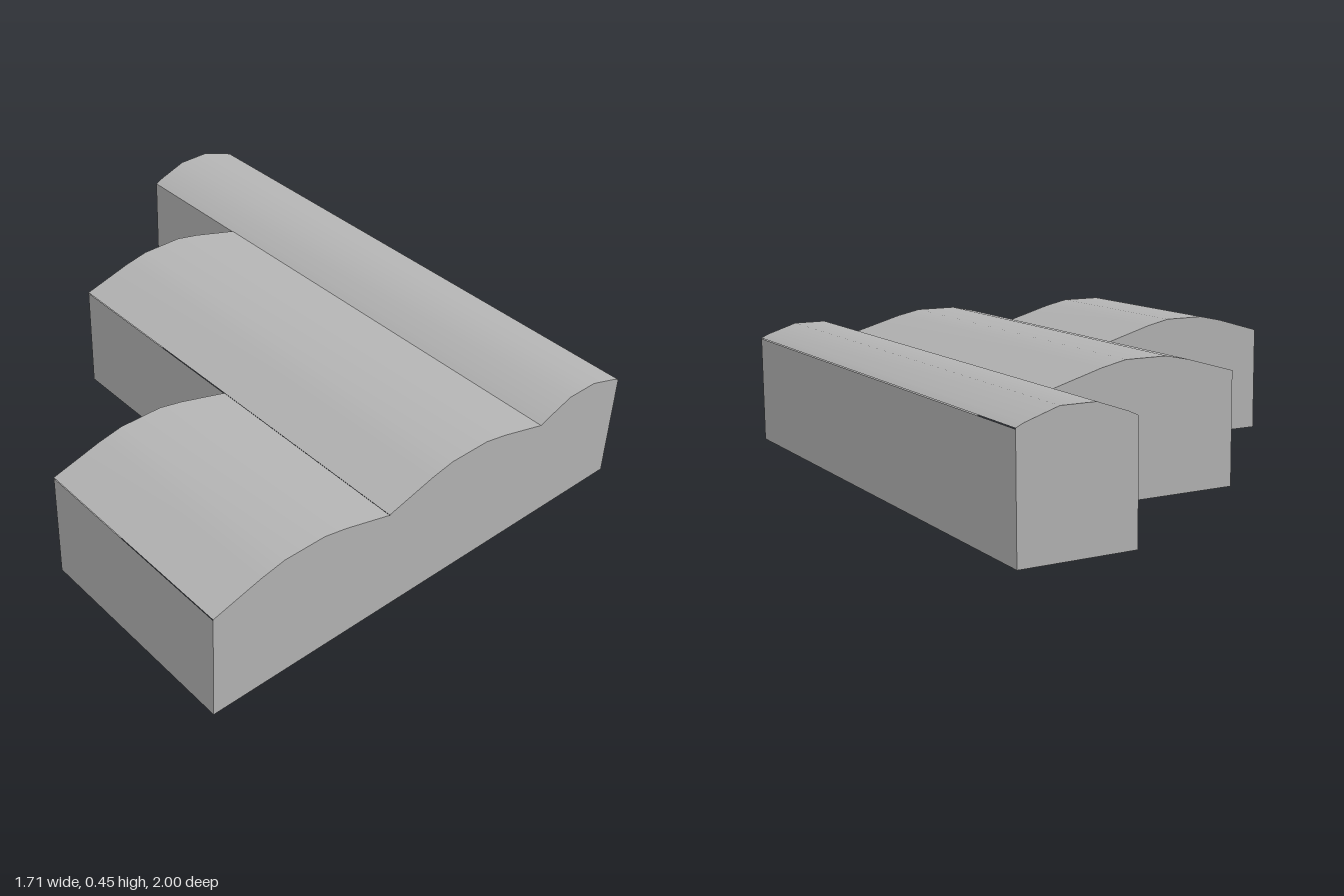
import * as THREE from 'three';

const EAVE = 0.38;
const FRONT = 1;

// Vault outlines as [x offset from bay start, y]
const wideArc = [[0, 0.383], [0.17, 0.432], [0.255, 0.45], [0.405, 0.45], [0.49, 0.432], [0.665, 0.382]];
const narrowArc = [[0, EAVE], [0.032, 0.395], [0.132, 0.43], [0.247, 0.43], [0.355, 0.395], [0.38, 0.383]];

// Three stepped bays sharing one front line
const bays = [
  { name: 'Right', x: -0.855, back: 0.237, arc: wideArc },
  { name: 'Middle', x: -0.19, back: -0.524, arc: wideArc },
  { name: 'Left', x: 0.475, back: -1, arc: narrowArc },
];

// Smooth vaulted roof: a strip swept from back to front
function roofGeometry(profile, back) {
  const positions = [];
  const index = [];
  profile.forEach(([x, y], i) => {
    positions.push(x, y, back, x, y, FRONT);
    if (i > 0) {
      const a = 2 * (i - 1);
      index.push(a, a + 1, a + 3, a, a + 3, a + 2);
    }
  });
  const geometry = new THREE.BufferGeometry();
  geometry.setAttribute('position', new THREE.Float32BufferAttribute(positions, 3));
  geometry.setIndex(index);
  geometry.computeVertexNormals();
  return geometry;
}

// Flat end wall under the vault outline
function endGeometry(profile, z, facesBack) {
  const s = facesBack ? -1 : 1;
  const outline = [
    [profile[0][0], 0], [profile[profile.length - 1][0], 0],
    ...[...profile].reverse(),
  ].map(([x, y]) => new THREE.Vector2(s * x, y));
  const geometry = new THREE.ShapeGeometry(new THREE.Shape(outline));
  if (facesBack) geometry.rotateY(Math.PI);
  return geometry.translate(0, 0, z);
}

// Rectangular side wall facing +x or -x
function sideGeometry(x, z0, z1, direction) {
  return new THREE.PlaneGeometry(z1 - z0, EAVE)
    .rotateY(direction * Math.PI / 2)
    .translate(x, EAVE / 2, (z0 + z1) / 2);
}

export function createModel() {
  const model = new THREE.Group();
  model.name = 'vaultedBuilding';
  const grey = new THREE.MeshStandardMaterial({ color: 0xb3b3b3, side: THREE.DoubleSide });
  grey.name = 'plainGrey';

  const add = (name, geometry) => {
    const mesh = new THREE.Mesh(geometry, grey);
    mesh.name = name;
    model.add(mesh);
  };

  // Each bay is open underneath and to its neighbours
  let stepFront = FRONT;
  for (const { name, x, back, arc } of bays) {
    const profile = arc.map(([dx, y]) => [x + dx, y]);
    add(`roof${name}`, roofGeometry(profile, back));
    add(`frontWall${name}`, endGeometry(profile, FRONT, false));
    add(`backWall${name}`, endGeometry(profile, back, true));
    add(`stepWall${name}`, sideGeometry(x, back, stepFront, -1));
    stepFront = back;
  }

  // Long outer wall on the left side
  add('longSideWall', sideGeometry(0.855, -1, FRONT, 1));
  return model;
}
